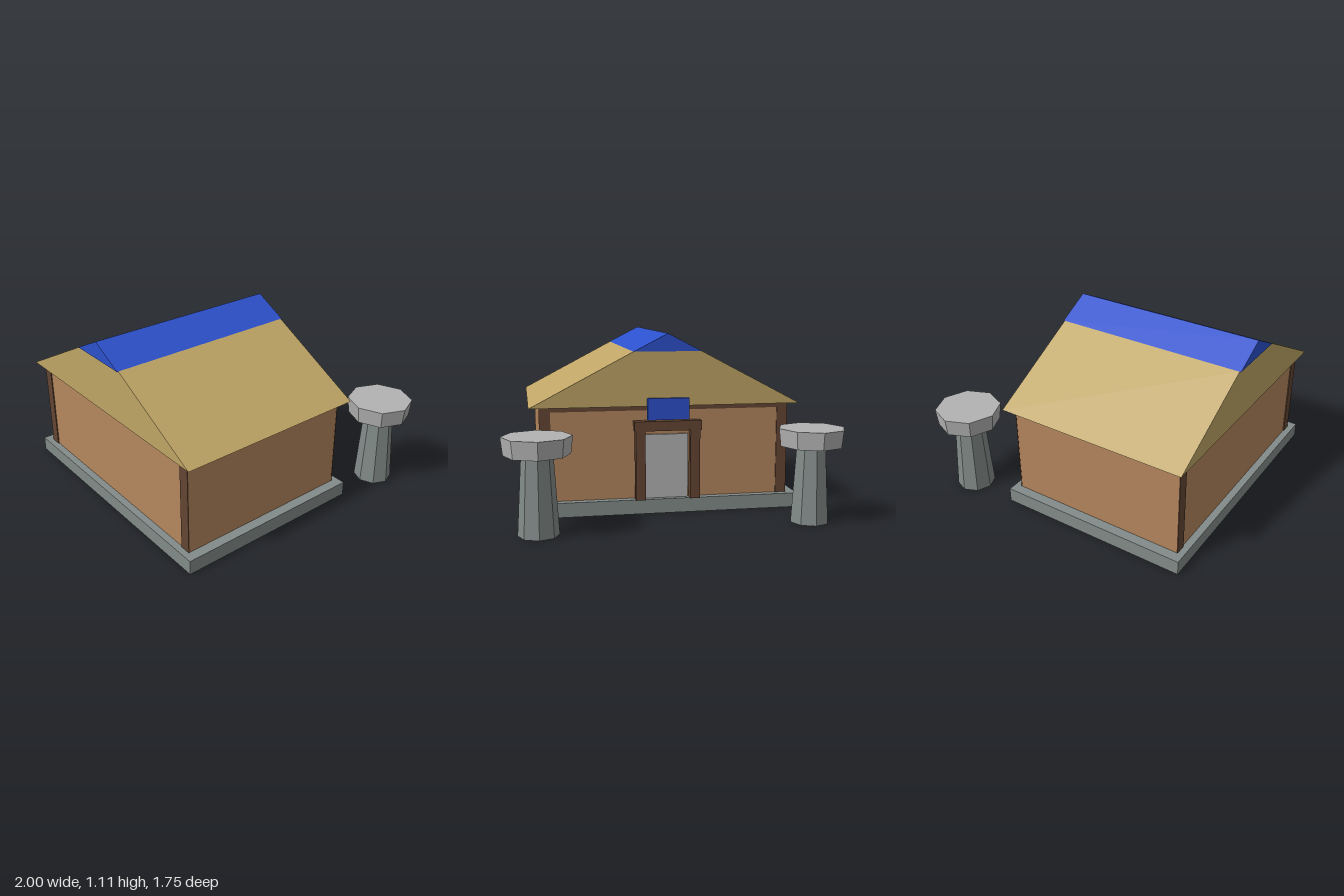
import * as THREE from 'three';

const mat = (name, color) => {
  const m = new THREE.MeshStandardMaterial({ color });
  m.name = name;
  return m;
};

export function createModel() {
  const model = new THREE.Group();
  model.name = 'gabledHouse';

  const wall = mat('clay wall', 0xb4865d);
  const timber = mat('dark timber', 0x634532);
  const thatch = mat('straw roof', 0xbfa566);
  const blue = mat('blue trim', 0x2c51cc);
  const stone = mat('blue grey stone', 0x828b89);
  const pale = mat('pale grey', 0xb2b2b2);

  const add = (name, geometry, material, x = 0, y = 0, z = 0) => {
    const mesh = new THREE.Mesh(geometry, material);
    mesh.name = name;
    mesh.position.set(x, y, z);
    model.add(mesh);
    return mesh;
  };
  // Box given by its lower and upper bounds on each axis
  const box = (name, material, [x0, x1], [y0, y1], [z0, z1]) =>
    add(name, new THREE.BoxGeometry(x1 - x0, y1 - y0, z1 - z0), material,
      (x0 + x1) / 2, (y0 + y1) / 2, (z0 + z1) / 2);
  // Outline in x and y, extruded along z
  const prism = (name, material, points, z0, z1) => {
    const shape = new THREE.Shape(points.map(([x, y]) => new THREE.Vector2(x, y)));
    return add(name, new THREE.ExtrudeGeometry(shape, { depth: z1 - z0, bevelEnabled: false }), material, 0, 0, z0);
  };

  // Foundation and walls
  box('foundation', stone, [-0.84, 0.84], [0, 0.09], [-0.35, 0.865]);
  box('walls', wall, [-0.777, 0.777], [0.09, 0.67], [-0.3, 0.82]);

  // Timber trim on both gable walls
  for (const [side, z0, z1] of [['front', 0.82, 0.826], ['back', -0.306, -0.3]]) {
    for (const s of [-1, 1]) {
      box(side + 'CornerPost', timber, [s * 0.744 - 0.034, s * 0.744 + 0.034], [0.09, 0.67], [z0, z1]);
    }
    box(side + 'TopBeam', timber, [-0.71, 0.71], [0.64, 0.67], [z0, z1]);
  }

  // Roof with a blue ridge cap
  prism('roof', thatch, [[-0.84, 0.67], [0.84, 0.67], [0.208, 1.003], [-0.208, 1.003]], -0.35, 0.863);
  prism('ridgeCap', blue, [[-0.21, 1.002], [0.21, 1.002], [0, 1.11]], -0.357, 0.872);

  // Doorway at the back
  box('door', pale, [-0.135, 0.135], [0.09, 0.49], [-0.316, -0.3]);
  for (const s of [-1, 1]) {
    box('doorPost', timber, [s * 0.17 - 0.03, s * 0.17 + 0.03], [0.09, 0.525], [-0.37, -0.318]);
  }
  box('doorLintel', timber, [-0.208, 0.208], [0.52, 0.58], [-0.376, -0.316]);
  box('signBoard', blue, [-0.128, 0.128], [0.588, 0.72], [-0.38, -0.355]);

  // Eight-sided stone pillars behind the house
  const flat = (g) => { const f = g.toNonIndexed(); f.computeVertexNormals(); return f; };
  for (const s of [-1, 1]) {
    add('pillarShaft', flat(new THREE.CylinderGeometry(0.09, 0.118, 0.46, 8)), stone, s * 0.8, 0.23, -0.676);
    add('pillarCap', flat(new THREE.CylinderGeometry(0.2, 0.188, 0.105, 8)), pale, s * 0.8, 0.5125, -0.676);
  }

  return model;
}
